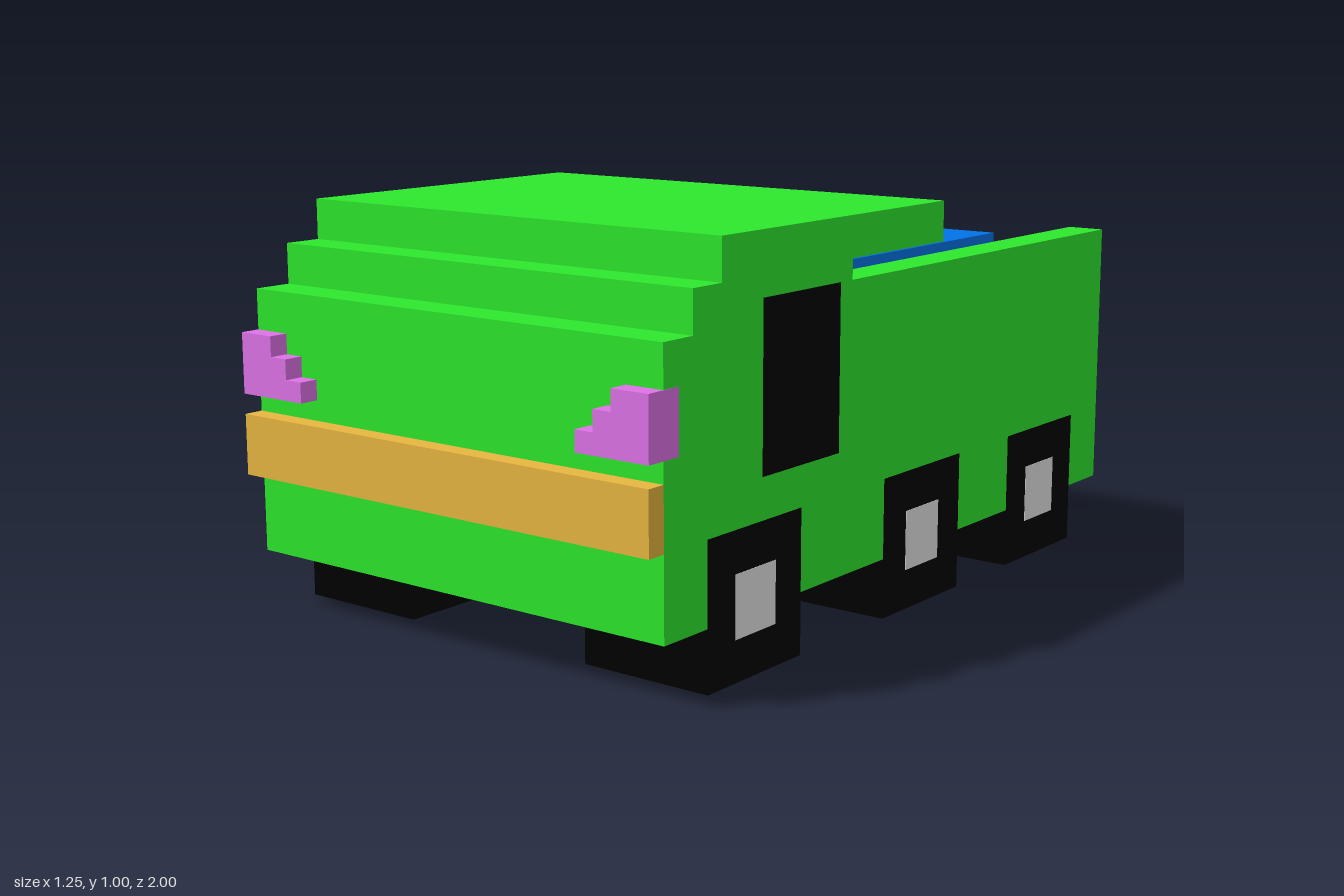
import * as THREE from 'three';

const mat = (name, color) => {
  const m = new THREE.MeshStandardMaterial({ color });
  m.name = name;
  return m;
};

export function createModel() {
  const green = mat('body green', 0x2de82d);
  const blue = mat('cargo blue', 0x0073e8);
  const violet = mat('lamp violet', 0xdf73e8);
  const gold = mat('bumper gold', 0xe7b640);
  const black = mat('rubber black', 0x000000);
  const grey = mat('hub grey', 0xe4e4e4);

  const truck = new THREE.Group();
  truck.name = 'truck';

  // Box given by its limits on each axis
  const box = (name, material, [x0, x1], [y0, y1], [z0, z1]) => {
    const mesh = new THREE.Mesh(new THREE.BoxGeometry(x1 - x0, y1 - y0, z1 - z0), material);
    mesh.position.set((x0 + x1) / 2, (y0 + y1) / 2, (z0 + z1) / 2);
    mesh.name = name;
    truck.add(mesh);
  };
  // The same box on both sides of the model
  const pair = (name, material, [x0, x1], y, z) => {
    box(name + 'Left', material, [x0, x1], y, z);
    box(name + 'Right', material, [-x1, -x0], y, z);
  };

  const W = 0.625; // half width
  const skin = 0.001; // lift of the thin side plates

  // Cab with stepped front and overhanging roof, extruded across the width
  const profile = new THREE.Shape([
    [0.25, 0.15], [0.95, 0.15], [0.95, 0.8], [0.85, 0.8], [0.85, 0.9], [0.75, 0.9],
    [0.75, 1], [-0.15, 1], [-0.15, 0.9], [0.25, 0.9],
  ].map(([z, y]) => new THREE.Vector2(-z, y)));
  const cabGeometry = new THREE.ExtrudeGeometry(profile, { depth: 2 * W, bevelEnabled: false });
  cabGeometry.translate(0, 0, -W).rotateY(Math.PI / 2);
  const cab = new THREE.Mesh(cabGeometry, green);
  cab.name = 'cab';
  truck.add(cab);

  // Open-backed bed and its load
  box('bedFloor', green, [-W, W], [0.15, 0.4], [-1, 0.25]);
  pair('bedWall', green, [0.525, W], [0.4, 0.85], [-1, 0.25]);
  box('cargo', blue, [-0.425, 0.425], [0.4, 0.85], [-0.75, 0.25]);

  // Bumper and stepped headlamps
  box('bumper', gold, [-W, W], [0.35, 0.5], [0.95, 1]);
  [0.425, 0.475, 0.525].forEach((x, i) => {
    const y = 0.55 + i * 0.05;
    pair('headlamp', violet, [x, W + skin], [y, y + 0.05], [0.9, 1]);
  });

  // Side windows
  pair('sideWindow', black, [W - skin, W + skin], [0.45, 0.85], [0.3, 0.6]);

  // Three axles with square wheels and hubs
  for (const z of [0.625, -0.075, -0.675]) {
    const span = [z - 0.175, z + 0.175];
    pair('wheel', black, [0.275, W + skin], [0, 0.35], span);
    pair('hub', grey, [W, W + 2 * skin], [0.1, 0.25], [z - 0.075, z + 0.075]);
    box('axle', black, [-0.275, 0.275], [0.15 - skin, 0.155], span);
  }
  return truck;
}
